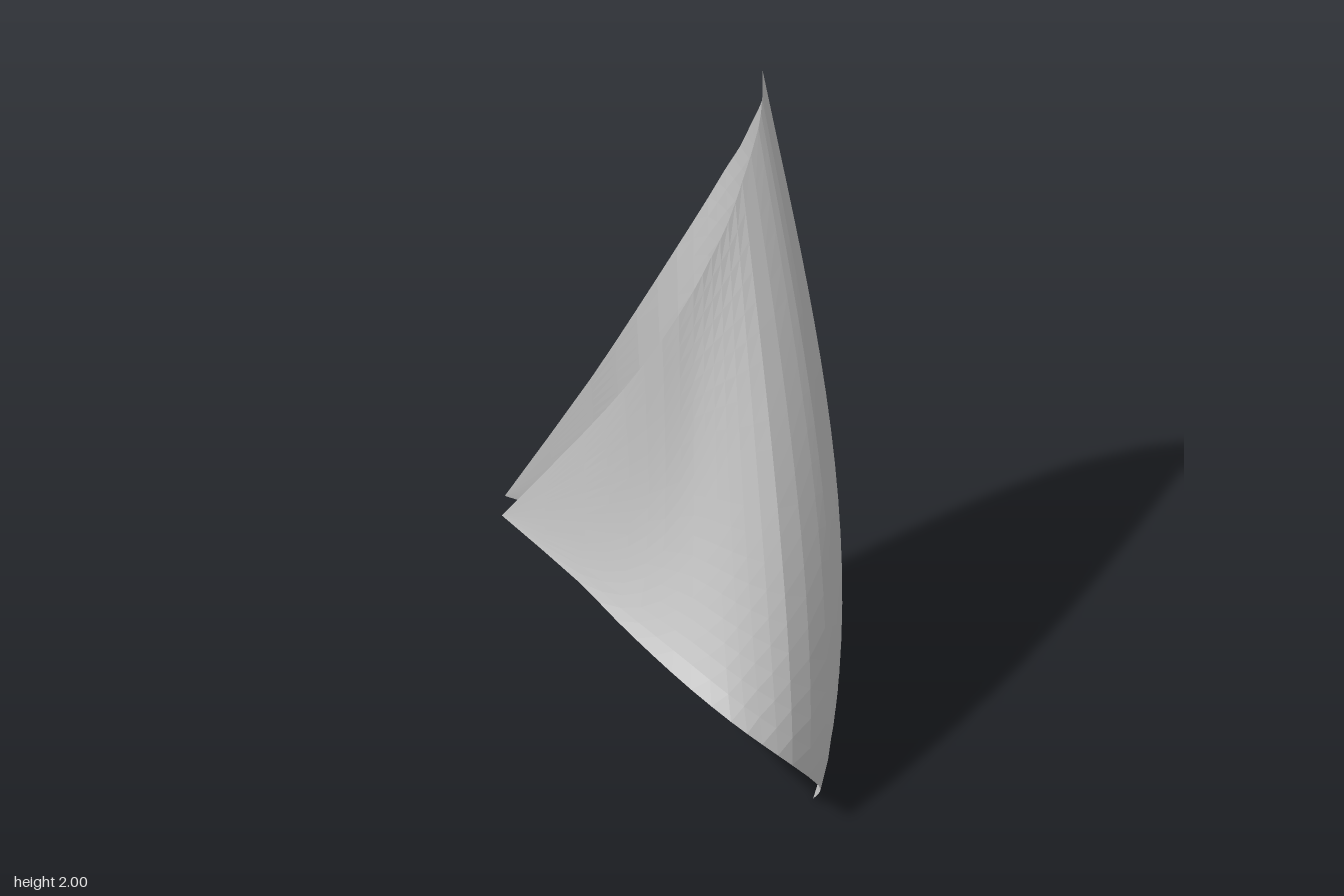
import * as THREE from 'three';

const curve = (pts) =>
  new THREE.CatmullRomCurve3(pts.map((p) => new THREE.Vector3(...p)), false, 'centripetal');

// Half outlines of the rolled sheet, from the spine round to the side corner
const lowerEdge = curve([
  [0.183, 0, -0.183], [0.24, 0.063, -0.155], [0.285, 0.125, -0.115], [0.331, 0.26, 0],
  [0.323, 0.35, 0.08], [0.286, 0.42, 0.14], [0.2, 0.48, 0.183], [0.1, 0.53, 0.21],
  [0, 0.58, 0.232], [-0.1, 0.645, 0.26], [-0.28, 0.76, 0.332],
]);
const upperEdge = curve([
  [0.103, 2, -0.103], [0.124, 1.94, -0.085], [0.141, 1.88, -0.06], [0.157, 1.77, 0],
  [0.16, 1.68, 0.043], [0.151, 1.6, 0.083], [0.131, 1.51, 0.119], [0.08, 1.37, 0.167],
  [0, 1.21, 0.211], [-0.1, 1.045, 0.25], [-0.28, 0.76, 0.332],
]);

// Belly along the spine (positive) turning into a pinched waist at the flaps (negative)
const bulgeCurve = new THREE.SplineCurve(
  [0.1, 0.08, 0.06, 0.028, -0.018, -0.05, -0.056, -0.042, -0.027, -0.013, 0]
    .map((b, i) => new THREE.Vector2(i, b))
);

// Point on the sheet: s runs from -1 to 1 across it, t from lower to upper edge
function sheetPoint(s, t) {
  const a = Math.abs(s);
  const p = lowerEdge.getPoint(a).lerp(upperEdge.getPoint(a), t);
  const bulge = bulgeCurve.getPoint(a).y * Math.sin(Math.PI * Math.pow(t, 0.75));
  const r = Math.hypot(p.x, p.z);
  p.x += (p.x / r) * bulge;
  p.z += (p.z / r) * bulge;
  // Mirror across the diagonal plane through the spine
  return s < 0 ? new THREE.Vector3(-p.z, p.y, -p.x) : p;
}

export function createModel() {
  const group = new THREE.Group();
  group.name = 'rolledSheet';

  // Flat grid bent into the curled sheet
  const geometry = new THREE.PlaneGeometry(2, 1, 40, 20);
  const pos = geometry.attributes.position;
  for (let i = 0; i < pos.count; i++) {
    const p = sheetPoint(-pos.getX(i), pos.getY(i) + 0.5);
    pos.setXYZ(i, p.x, p.y, p.z);
  }
  geometry.computeVertexNormals();

  const sheet = new THREE.Mesh(
    geometry,
    new THREE.MeshStandardMaterial({ color: 0xcccccc, flatShading: true, side: THREE.DoubleSide })
  );
  sheet.name = 'curledSheet';
  group.add(sheet);
  return group;
}
